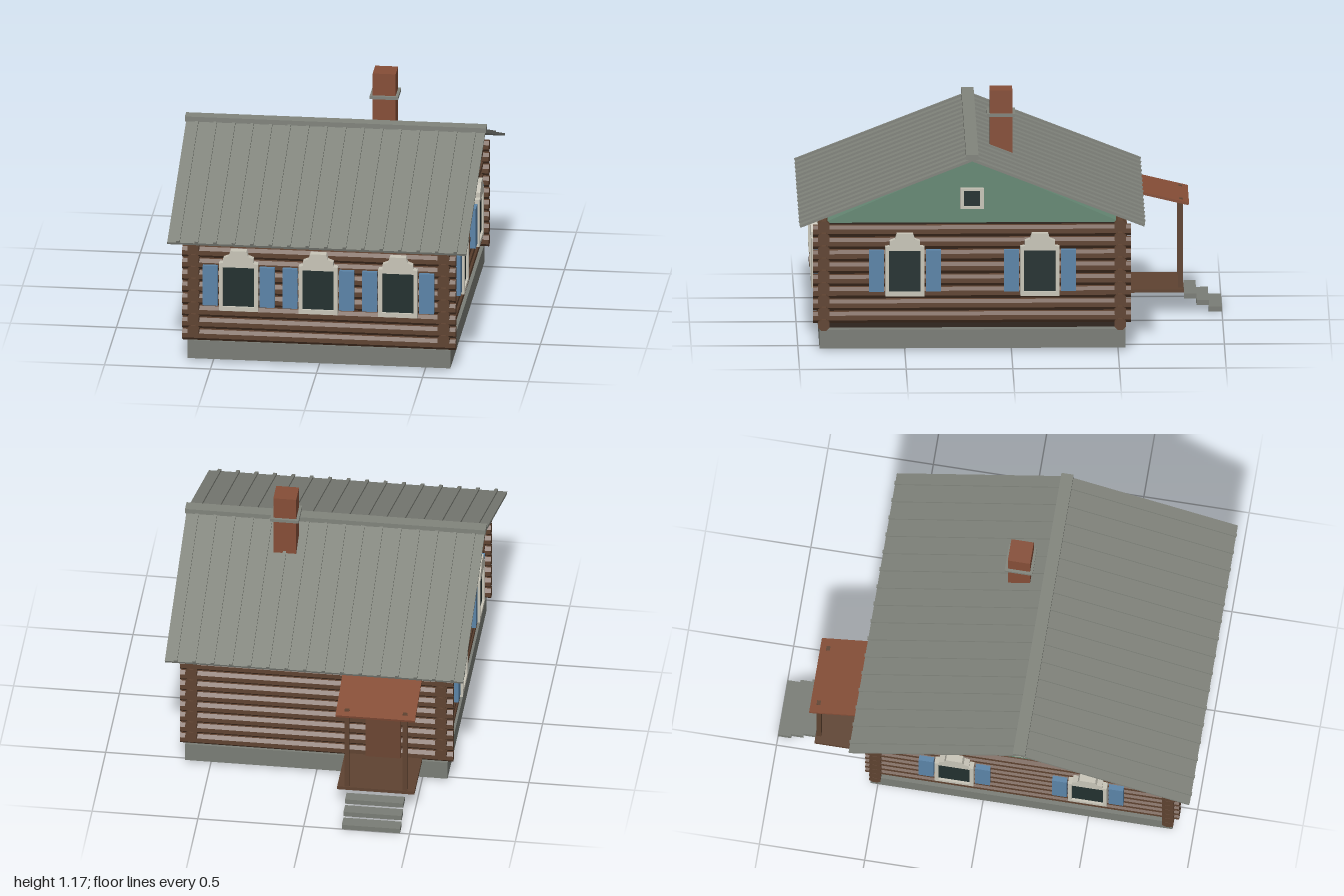
import * as THREE from 'three';

const mat = (name, color) => {
  const m = new THREE.MeshStandardMaterial({ color, flatShading: true });
  m.name = name;
  return m;
};

export function createModel() {
  const M = {
    log: mat('log brown', 0x5f4331),
    gap: mat('dark chinking', 0x2c1e15),
    grey: mat('roof grey', 0x81847c),
    stone: mat('foundation grey', 0x7a7d76),
    brick: mat('brick red', 0x864e37),
    green: mat('gable green', 0x668874),
    blue: mat('shutter blue', 0x5b84a8),
    trim: mat('cream trim', 0xc8c5b8),
    glass: mat('dark glass', 0x22302f),
    door: mat('door brown', 0x6b4632),
  };
  const house = new THREE.Group();
  house.name = 'logHouse';
  const CZ = 0.185; // ridge line and centre of the walls

  const add = (parent, name, geo, material) => {
    const m = new THREE.Mesh(geo, material);
    m.name = name;
    parent.add(m);
    return m;
  };
  // box given by its limits on each axis
  const box = (parent, name, material, x0, x1, y0, y1, z0, z1) => {
    const m = add(parent, name, new THREE.BoxGeometry(x1 - x0, y1 - y0, z1 - z0), material);
    m.position.set((x0 + x1) / 2, (y0 + y1) / 2, (z0 + z1) / 2);
    return m;
  };
  const group = (name, parent = house) => {
    const g = new THREE.Group();
    g.name = name;
    parent.add(g);
    return g;
  };

  // foundation and the dark core seen between the logs
  box(house, 'foundation', M.stone, -0.62, 0.62, 0.015, 0.105, -0.535, 0.9);
  box(house, 'wallCore', M.gap, -0.575, 0.575, 0.105, 0.62, -0.495, 0.865);

  // interlocking octagonal logs
  const logs = group('logWalls');
  const logGeo = (len) => new THREE.CylinderGeometry(0.0288, 0.0288, len, 8).rotateY(Math.PI / 8);
  const longLog = logGeo(1.29).rotateZ(Math.PI / 2);
  const sideLog = logGeo(1.49).rotateX(Math.PI / 2);
  const step = 0.0592;
  for (const s of [-1, 1]) {
    for (let i = 0; i < 9; i++) {
      add(logs, 'crossLog', longLog, M.log).position.set(0, 0.131 + i * step, CZ + s * 0.695);
    }
    for (let i = 0; i < 8; i++) {
      add(logs, 'sideLog', sideLog, M.log).position.set(s * 0.59, 0.131 + (i + 0.5) * step, CZ);
    }
  }

  // gable prism
  const tri = new THREE.Shape([[-0.695, 0.615], [0.695, 0.615], [0, 0.92]].map((p) => new THREE.Vector2(...p)));
  const gable = add(house, 'gable',
    new THREE.ExtrudeGeometry(tri, { depth: 1.2, bevelEnabled: false }).translate(0, 0, -0.6).rotateY(Math.PI / 2), M.green);
  gable.position.z = CZ;

  // attic windows
  for (const s of [-1, 1]) {
    const g = group('atticWindow');
    g.position.set(s * 0.6, 0.733, CZ);
    g.rotation.y = s * Math.PI / 2;
    for (const t of [-1, 1]) {
      box(g, 'atticFrameSide', M.trim, t * 0.046 - 0.009, t * 0.046 + 0.009, -0.05, 0.05, 0, 0.02);
      box(g, 'atticFrameRail', M.trim, -0.037, 0.037, t * 0.0435 - 0.0065, t * 0.0435 + 0.0065, 0, 0.02);
    }
    box(g, 'atticGlass', M.glass, -0.037, 0.037, -0.037, 0.037, 0, 0.009);
  }

  // window with a stepped crown and two shutters, facing +z
  const half = [[0.092, 0.272], [0.092, 0.508], [0.071, 0.512], [0.071, 0.536], [0.046, 0.546], [0.038, 0.572]];
  const outline = [...half, ...half.map(([x, y]) => [-x, y]).reverse()];
  const frameShape = new THREE.Shape(outline.map((p) => new THREE.Vector2(...p)));
  frameShape.holes.push(new THREE.Path(
    [[-0.074, 0.293], [-0.074, 0.49], [0.074, 0.49], [0.074, 0.293]].map((p) => new THREE.Vector2(...p))));
  const frameGeo = new THREE.ExtrudeGeometry(frameShape, { depth: 0.036, bevelEnabled: false });
  const makeWindow = (x, z, turn) => {
    const g = group('window');
    g.position.set(x, 0, z);
    g.rotation.y = turn;
    add(g, 'windowFrame', frameGeo, M.trim);
    box(g, 'windowGlass', M.glass, -0.075, 0.075, 0.292, 0.491, 0.016, 0.025);
    for (const s of [-1, 1]) {
      box(g, 'shutter', M.blue, s * 0.134 - 0.035, s * 0.134 + 0.035, 0.292, 0.49, 0, 0.026);
    }
  };
  for (const x of [-0.376, 0, 0.376]) makeWindow(x, 0.9, 0);
  for (const s of [-1, 1]) {
    for (const z of [0.5, -0.133]) makeWindow(s * 0.616, z, s * Math.PI / 2);
  }

  // roof slopes with standing seams
  const pitch = Math.atan2(0.32, 0.815);
  for (const s of [-1, 1]) {
    const slope = group('roofSlope');
    slope.position.set(0, 0.953, CZ);
    slope.rotation.x = s * pitch;
    const z0 = s > 0 ? 0 : -0.873, z1 = s > 0 ? 0.873 : 0;
    box(slope, 'roofPanel', M.grey, -0.705, 0.705, -0.02, -0.008, z0, z1);
    for (let i = 0; i < 16; i++) {
      const x = -0.654 + i * 0.0872;
      box(slope, 'roofSeam', M.grey, x - 0.008, x + 0.008, -0.01, 0.002, z0, z1);
    }
  }
  box(house, 'ridgeCap', M.grey, -0.71, 0.71, 0.94, 0.964, CZ - 0.029, CZ + 0.029);

  // chimney
  box(house, 'chimney', M.brick, 0.163, 0.271, 0.8, 1.172, -0.01, 0.096);
  box(house, 'chimneyBand', M.grey, 0.15, 0.284, 1.048, 1.063, -0.023, 0.109);

  // back porch
  const porch = group('porch');
  box(porch, 'porchDeck', M.log, -0.5, -0.135, 0.104, 0.12, -0.82, -0.535);
  for (const x of [-0.455, -0.18]) {
    box(porch, 'porchPost', M.log, x - 0.011, x + 0.011, 0.12, 0.548, -0.816, -0.794);
  }
  const canopy = box(porch, 'porchRoof', M.brick, -0.505, -0.13, 0.564, 0.576, -0.848, -0.512);
  canopy.rotation.x = -0.235;
  box(porch, 'door', M.door, -0.4, -0.235, 0.12, 0.48, -0.55, -0.52);
  [[0.066, -0.88, -0.823], [0.034, -0.938, -0.88], [0.002, -1, -0.938]].forEach(([y, z0, z1]) => {
    box(porch, 'porchStep', M.stone, -0.455, -0.18, y, y + 0.024, z0, z1);
  });

  return house;
}
